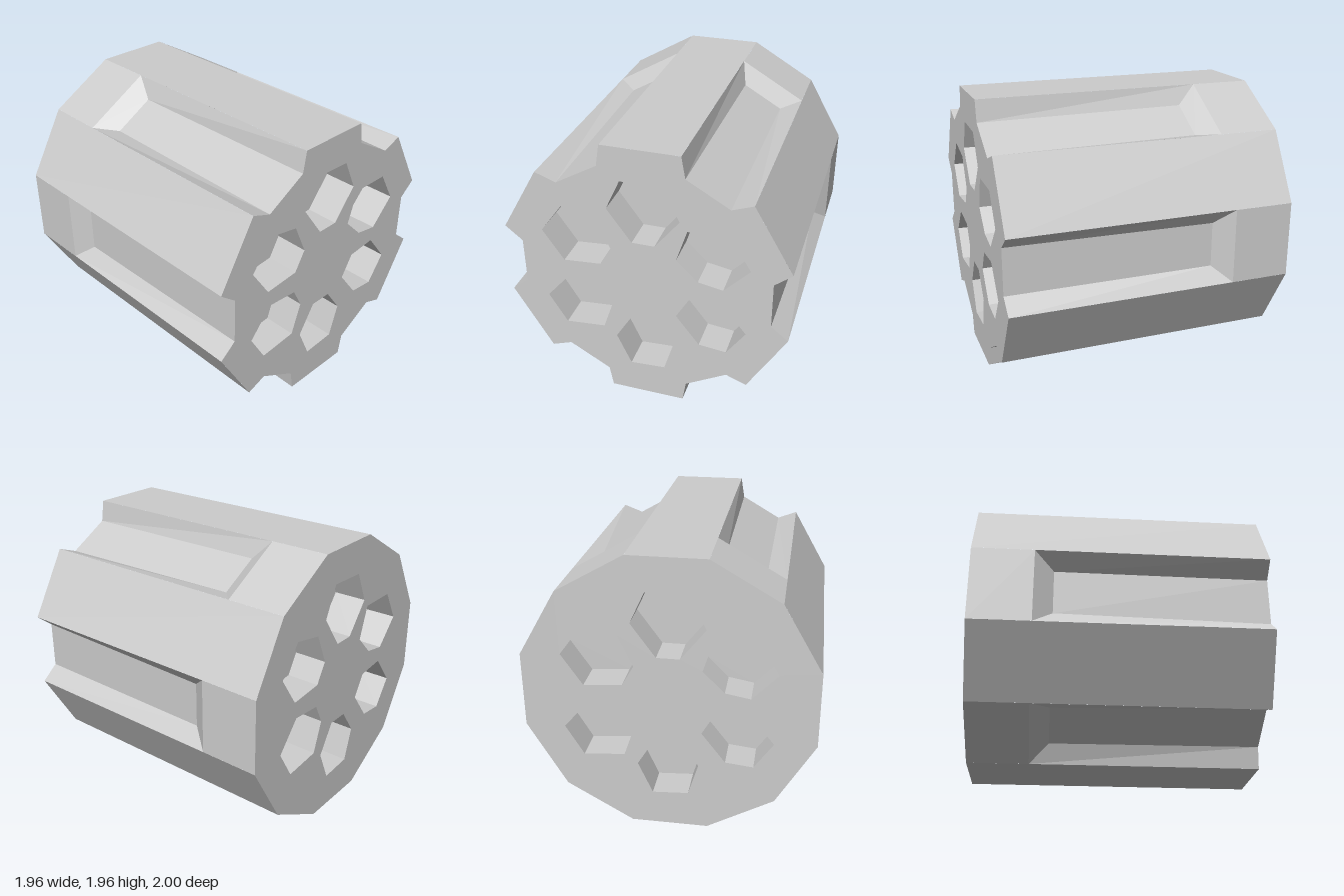
import * as THREE from 'three';

const CY = 0.983;              // height of the drum axis
const R = 0.982, W = 0.263;    // face distance and half width of the twelve-sided drum
const DEPTH = 0.23;            // pocket depth
const material = new THREE.MeshStandardMaterial({ color: 0xcccccc, flatShading: true });

// Six irregular hexagonal pockets, corners clockwise from the upper left
const POCKETS = [
  [[-0.14, 1.73], [0.145, 1.72], [0.25, 1.5], [0.08, 1.285], [-0.075, 1.285], [-0.24, 1.515]],
  [[0.3, 1.44], [0.585, 1.44], [0.715, 1.22], [0.54, 1.035], [0.37, 1.065], [0.225, 1.21]],
  [[0.31, 0.905], [0.53, 0.925], [0.7, 0.71], [0.57, 0.52], [0.38, 0.54], [0.22, 0.75]],
  [[-0.09, 0.68], [0.07, 0.68], [0.2, 0.495], [0.13, 0.265], [-0.115, 0.25], [-0.215, 0.475]],
  [[-0.54, 0.925], [-0.305, 0.905], [-0.23, 0.76], [-0.305, 0.54], [-0.585, 0.515], [-0.71, 0.725]],
  [[-0.555, 1.475], [-0.325, 1.43], [-0.225, 1.21], [-0.305, 1.07], [-0.565, 1.05], [-0.71, 1.265]],
];

// Point at distance r from the axis, t along the face, on the face at angle a
function polar(a, r, t, z) {
  return [r * Math.cos(a) - t * Math.sin(a), CY + r * Math.sin(a) + t * Math.cos(a), z];
}

function quadMesh(name, quads) {
  const positions = quads.flatMap(([a, b, c, d]) => [a, b, c, a, c, d].flat());
  const geometry = new THREE.BufferGeometry();
  geometry.setAttribute('position', new THREE.Float32BufferAttribute(positions, 3));
  geometry.computeVertexNormals();
  const mesh = new THREE.Mesh(geometry, material);
  mesh.name = name;
  return mesh;
}

function flatMesh(name, shape, z) {
  const mesh = new THREE.Mesh(new THREE.ShapeGeometry(shape), material);
  mesh.name = name;
  mesh.position.z = z;
  return mesh;
}

const toVectors = (points) => points.map(([x, y]) => new THREE.Vector2(x, y));

// Plain full-length face
function ridge(a) {
  const p = (t, z) => polar(a, R, t, z);
  return quadMesh('ridge', [[p(-W, 1), p(-W, -1), p(W, -1), p(W, 1)]]);
}

// Face with a tapering groove, open at the front and ramped at the rear
function flute(a) {
  const o = (t, z) => polar(a, R, t, z);
  const [fM, fP] = [-1, 1].map((s) => polar(a, 0.864, s * 0.166, 1));
  const [bM, bP] = [-1, 1].map((s) => polar(a, 0.89, s * 0.156, -0.45));
  const end = -0.58;
  return quadMesh('flute', [
    [fM, bM, bP, fP],
    [o(-W, 1), o(-W, end), bM, fM],
    [fP, bP, o(W, end), o(W, 1)],
    [bM, o(-W, end), o(W, end), bP],
    [o(-W, end), o(-W, -1), o(W, -1), o(W, end)],
  ]);
}

// End plate with its recessed pockets, facing +z
function endPlate(name, outline) {
  const group = new THREE.Group();
  group.name = name;
  const shape = new THREE.Shape(toVectors(outline));
  for (const pocket of POCKETS) {
    shape.holes.push(new THREE.Path(toVectors(pocket)));
    const walls = pocket.map((a, i) => {
      const b = pocket[(i + 1) % pocket.length];
      return [[...a, 1 - DEPTH], [...b, 1 - DEPTH], [...b, 1], [...a, 1]];
    });
    group.add(quadMesh('pocketWalls', walls));
    group.add(flatMesh('pocketFloor', new THREE.Shape(toVectors(pocket)), 1 - DEPTH));
  }
  group.add(flatMesh('plate', shape, 1));
  return group;
}

export function createModel() {
  const model = new THREE.Group();
  model.name = 'flutedDrum';
  const frontOutline = [], backOutline = [];

  // Alternate grooved and plain faces around the axis
  for (let i = 0; i < 6; i++) {
    const a = (i * Math.PI) / 3;
    model.add(flute(a), ridge(a + Math.PI / 6));
    const outer = [polar(a, R, -W, 1), polar(a, R, W, 1)];
    frontOutline.push(outer[0], polar(a, 0.864, -0.166, 1), polar(a, 0.864, 0.166, 1), outer[1]);
    backOutline.push(...outer);
  }

  const back = endPlate('backEnd', backOutline);
  back.rotation.y = Math.PI;
  model.add(endPlate('frontEnd', frontOutline), back);
  return model;
}
